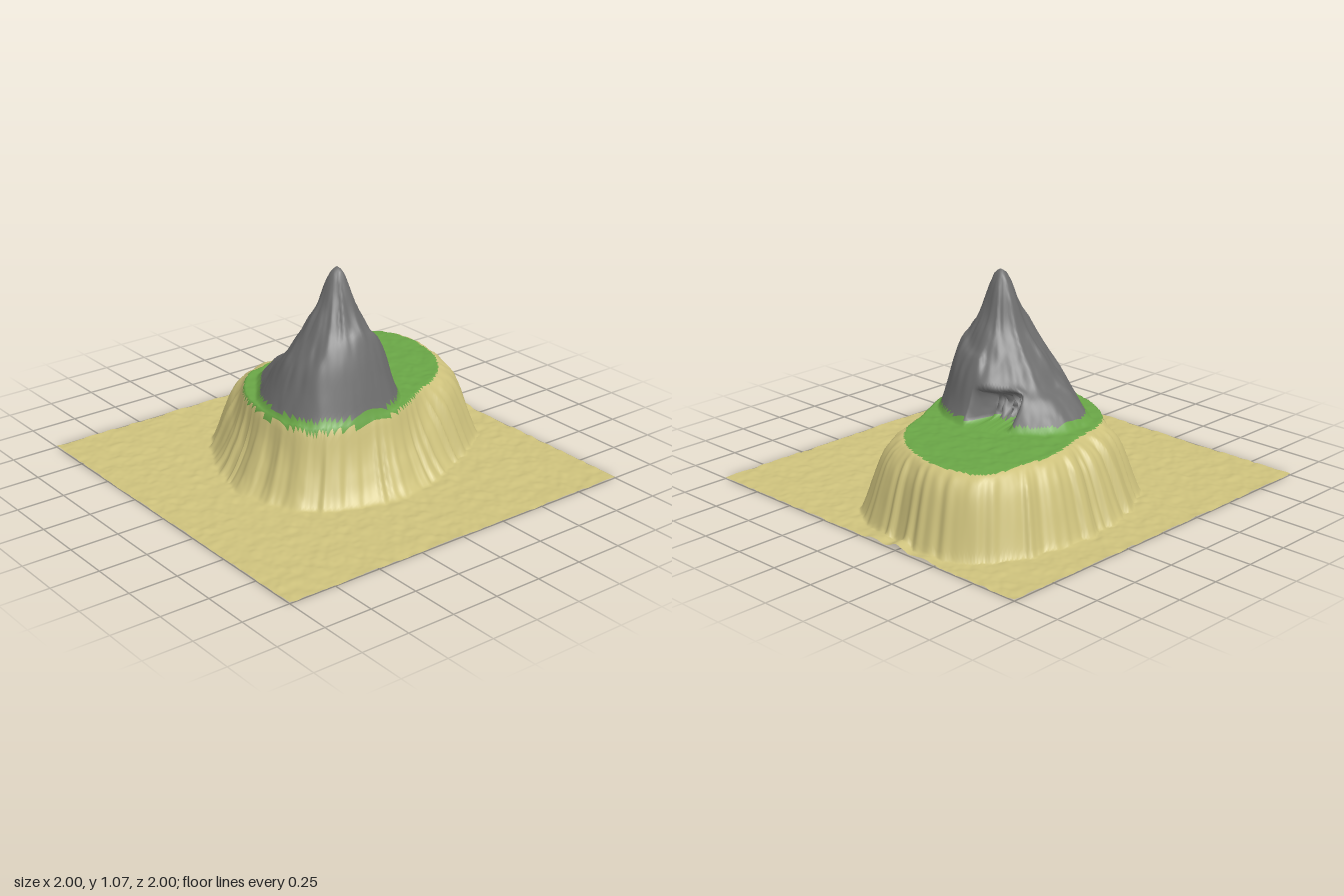
import * as THREE from 'three';

const N = 190; // grid cells per side
const { lerp, smoothstep, clamp } = THREE.MathUtils;

// outlines as [x, z]
const RIM = [[0.3, -0.59], [0.5, -0.58], [0.71, -0.54], [0.78, -0.38], [0.77, -0.2], [0.7, -0.02], [0.55, 0.14],
  [0.38, 0.22], [0.25, 0.29], [0.13, 0.34], [-0.1, 0.35], [-0.28, 0.31], [-0.37, 0.2], [-0.39, 0.05],
  [-0.37, -0.15], [-0.3, -0.32], [-0.15, -0.47], [0.1, -0.53]];
const BASE = [[-0.57, 0.02], [-0.5, 0.27], [-0.4, 0.39], [-0.15, 0.51], [0.1, 0.54], [0.35, 0.46], [0.6, 0.34],
  [0.78, 0.23], [0.88, 0.08], [0.93, -0.15], [0.95, -0.4], [0.88, -0.58], [0.75, -0.7], [0.5, -0.78],
  [0.2, -0.79], [-0.1, -0.72], [-0.35, -0.56], [-0.48, -0.33], [-0.55, -0.12]];
const FOOT = [[0, -0.46], [-0.13, -0.43], [-0.24, -0.3], [-0.34, -0.15], [-0.38, 0], [-0.37, 0.15], [-0.31, 0.27],
  [-0.15, 0.34], [0, 0.35], [0.13, 0.33], [0.24, 0.25], [0.32, 0.13], [0.35, 0.02], [0.35, -0.12],
  [0.29, -0.23], [0.21, -0.36], [0.11, -0.45]];

// hill heights from peak to foot, towards right, front, left and back
const SLOPES = [
  [1.08, 1.0, 0.87, 0.79, 0.715, 0.675, 0.59, 0.46, 0.385],
  [1.08, 1.06, 0.98, 0.88, 0.81, 0.755, 0.66, 0.52, 0.385],
  [1.08, 1.035, 0.92, 0.84, 0.755, 0.68, 0.605, 0.49, 0.385],
  [1.08, 0.98, 0.81, 0.71, 0.635, 0.545, 0.505, 0.445, 0.385]];
const CONVEX = [1, 0.96, 0.88, 0.74, 0.5, 0.22, 0];
const CONCAVE = [1, 0.71, 0.49, 0.33, 0.18, 0.07, 0];

// smooth lookup in an evenly spaced table, t in 0..1
function sample(table, t) {
  const f = clamp(t, 0, 1) * (table.length - 1), i = Math.min(Math.floor(f), table.length - 2), u = f - i;
  const a = table[Math.max(i - 1, 0)], b = table[i], c = table[i + 1], d = table[Math.min(i + 2, table.length - 1)];
  return b + 0.5 * u * (c - a + u * (2 * a - 5 * b + 4 * c - d + u * (3 * (b - c) + d - a)));
}

// radius of a closed outline as a function of the angle around (cx, cz)
function polar(points, cx, cz) {
  const curve = new THREE.CatmullRomCurve3(points.map(([x, z]) => new THREE.Vector3(x - cx, 0, z - cz)), true);
  const list = curve.getPoints(300).slice(0, -1)
    .map((p) => [Math.atan2(p.z, p.x), Math.hypot(p.x, p.z)]).sort((a, b) => a[0] - b[0]);
  const first = list[0], last = list[list.length - 1];
  list.unshift([last[0] - 2 * Math.PI, last[1]]);
  list.push([first[0] + 2 * Math.PI, first[1]]);
  return (angle) => {
    const k = Math.max(1, list.findIndex((e) => e[0] >= angle));
    const [a, ra] = list[k - 1], [b, rb] = list[k];
    return lerp(ra, rb, b > a ? (angle - a) / (b - a) : 0);
  };
}

// seeded value noise, -1..1
function hash(i, j) {
  const s = Math.sin(i * 127.1 + j * 311.7) * 43758.5453;
  return (s - Math.floor(s)) * 2 - 1;
}
function noise(x, y) {
  const i = Math.floor(x), j = Math.floor(y), u = smoothstep(x - i, 0, 1), v = smoothstep(y - j, 0, 1);
  return lerp(lerp(hash(i, j), hash(i + 1, j), u), lerp(hash(i, j + 1), hash(i + 1, j + 1), u), v);
}

const MID = [0.18, -0.12], PEAK = [-0.01, 0.06];
const rimRadius = polar(RIM, ...MID), baseRadius = polar(BASE, ...MID), footRadius = polar(FOOT, ...PEAK);

// terrain at (x, z): height, distance down the cliff and height of rock
function terrain(x, z) {
  const angle = Math.atan2(z - MID[1], x - MID[0]);
  const rim = rimRadius(angle), base = baseRadius(angle);
  let t = (Math.hypot(x - MID[0], z - MID[1]) - rim) / (base - rim);
  // gullies running down the cliff
  if (t > 0) t += 0.07 * noise(angle * 22 + 80, 3) * Math.min(t * 3, 1);
  const w = smoothstep((x - z) * 0.7, -0.1, 0.3);
  const cliff = lerp(sample(CONCAVE, t), sample(CONVEX, t), w);

  // blend the four hill slopes around the peak
  const dx = x - PEAK[0], dz = z - PEAK[1];
  const turn = Math.atan2(dz, dx), s = Math.hypot(dx, dz) / footRadius(turn);
  const q = ((turn / (Math.PI / 2)) + 4) % 4, k = Math.floor(q);
  let rock = 0;
  if (s < 1) {
    rock = lerp(sample(SLOPES[k], s), sample(SLOPES[(k + 1) % 4], s), smoothstep(q - k, 0, 1)) - 0.385;
    rock += 0.012 * noise(turn * 7 + 40, s * 5) * Math.min(s * 3, 1) * smoothstep(1 - s, 0, 0.3);
  }
  // low dunes beside the right edge
  let dune = 0;
  for (const [c, h, r] of [[-0.26, 0.03, 0.05], [-0.43, 0.014, 0.05], [-0.1, 0.012, 0.05]]) {
    dune += h * Math.exp(-(((z - c) / r) ** 2)) * smoothstep(x, 0.88, 0.95);
  }
  const rough = 0.004 * noise(x * 22 + 50, z * 22 + 50) + 0.002 * noise(x * 45, z * 45);
  const y = Math.max(0, 0.016 + rough + dune * (1 - cliff) + 0.367 * cliff + rock);
  return { y, t, rock };
}

export function createModel() {
  const materials = {
    sand: new THREE.MeshStandardMaterial({ color: 0xcdc17c, side: THREE.DoubleSide }),
    grass: new THREE.MeshStandardMaterial({ color: 0x69a546, side: THREE.DoubleSide }),
    rock: new THREE.MeshStandardMaterial({ color: 0x6e6e6e, side: THREE.DoubleSide }),
  };
  const positions = [], info = [], faces = { sand: [], grass: [], rock: [] };
  for (let j = 0; j <= N; j++) {
    for (let i = 0; i <= N; i++) {
      let x = -1 + (2 * i) / N;
      const z = -1 + (2 * j) / N, p = terrain(x, z);
      info.push(p);
      // cave mouth: the lower right slope is pushed into the hill
      if (x > 0.12 && x < 0.45 && p.rock > 0) {
        const across = 1 - smoothstep(Math.abs(z + 0.145), 0.06, 0.115);
        const up = smoothstep(p.y, 0.385, 0.41) * (1 - smoothstep(p.y, 0.5, 0.56));
        x -= across * up * (0.15 + 0.03 * hash(i, j));
      }
      positions.push(x, p.y, z);
    }
  }
  // sort the grid cells by ground cover
  for (let j = 0; j < N; j++) {
    for (let i = 0; i < N; i++) {
      const a = j * (N + 1) + i, b = a + 1, c = a + N + 1, d = c + 1;
      const corners = [a, b, c, d].map((v) => info[v]);
      const rock = corners.reduce((sum, p) => sum + p.rock, 0) / 4;
      const t = corners.reduce((sum, p) => sum + p.t, 0) / 4;
      const cover = rock > 0.03 ? 'rock' : t < 0.03 ? 'grass' : 'sand';
      faces[cover].push(a, c, b, b, c, d);
    }
  }
  // one shared surface, so the normals run smoothly across the colours
  const surface = new THREE.BufferGeometry();
  surface.setAttribute('position', new THREE.Float32BufferAttribute(positions, 3));
  surface.setIndex([...faces.sand, ...faces.grass, ...faces.rock]);
  surface.computeVertexNormals();

  const model = new THREE.Group();
  model.name = 'island';
  const names = { sand: 'sandAndCliffs', grass: 'grassPlateau', rock: 'rockyPeakWithCave' };
  for (const cover of Object.keys(faces)) {
    materials[cover].name = cover;
    const geometry = new THREE.BufferGeometry();
    geometry.setAttribute('position', surface.getAttribute('position'));
    geometry.setAttribute('normal', surface.getAttribute('normal'));
    geometry.setIndex(faces[cover]);
    const mesh = new THREE.Mesh(geometry, materials[cover]);
    mesh.name = names[cover];
    model.add(mesh);
  }
  return model;
}
